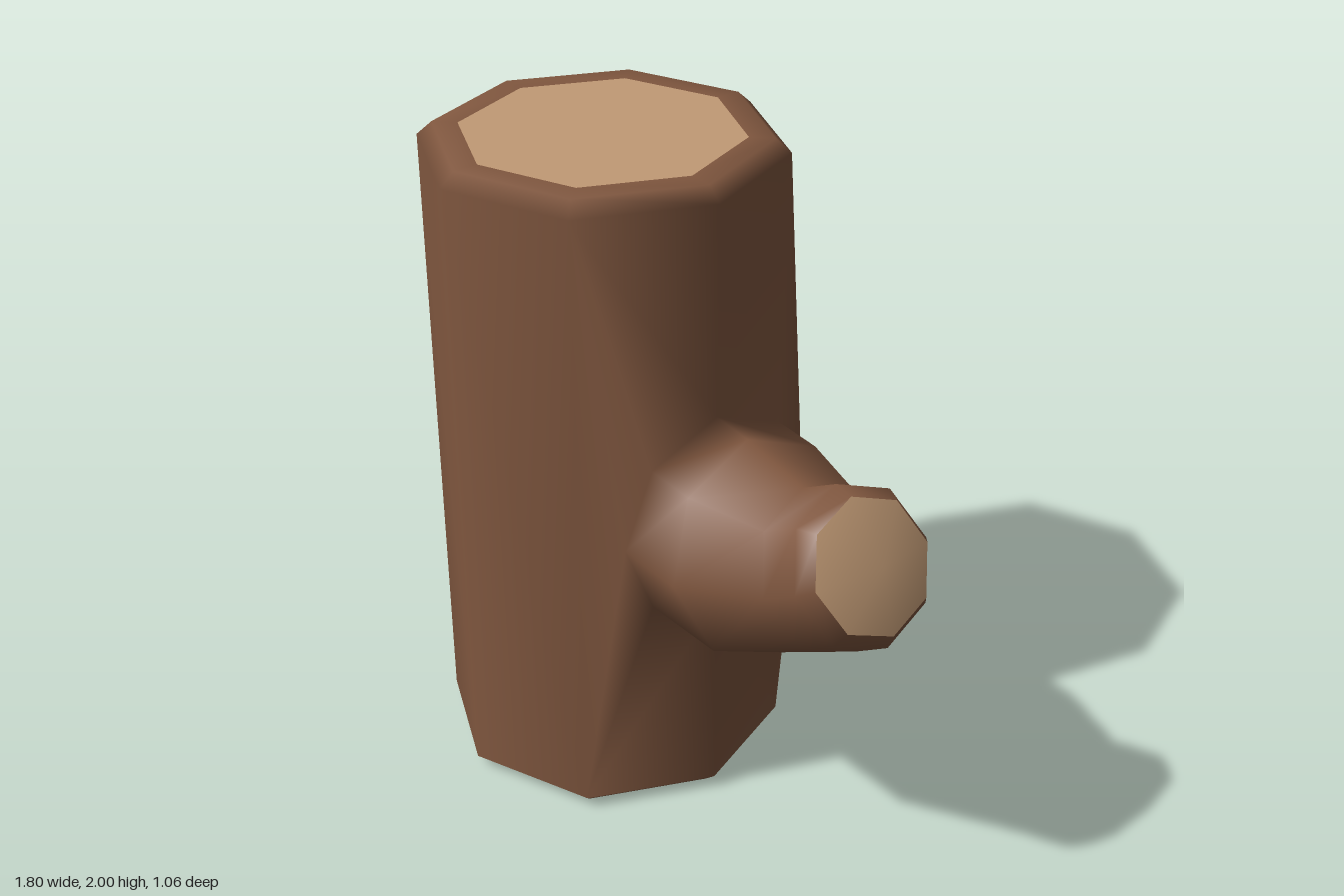
import * as THREE from 'three';

const N = 8;

// Horizontal octagon of the trunk
const trunkRing = (r, y) => Array.from({ length: N }, (_, k) => {
  const a = k / N * Math.PI * 2;
  return [-0.375 + r * Math.cos(a), y, r * Math.sin(a)];
});

// Tilted octagon of the branch: (ux, uy) leads from its centre to its top corner
const branchRing = (cx, cy, ux, uy, rz) => Array.from({ length: N }, (_, k) => {
  const a = k / N * Math.PI * 2;
  return [cx + ux * Math.cos(a), cy + uy * Math.cos(a), rz * Math.sin(a)];
});

function geometryFrom(points, index) {
  const g = new THREE.BufferGeometry();
  g.setAttribute('position', new THREE.Float32BufferAttribute(points.flat(), 3));
  g.setIndex(index);
  g.computeVertexNormals();
  return g;
}

// Fan that closes a ring
function cap(ring, centre, flip) {
  const index = [];
  for (let k = 0; k < N; k++) {
    const n = (k + 1) % N;
    index.push(N, ...(flip ? [n, k] : [k, n]));
  }
  return geometryFrom([...ring, centre], index);
}

export function createModel() {
  const bark = new THREE.MeshStandardMaterial({ color: 0x80573f });
  bark.name = 'bark';
  const wood = new THREE.MeshStandardMaterial({ color: 0xc19a75 });
  wood.name = 'cutWood';

  // Trunk rings run downwards, branch rings run outwards
  const trunk = [[0.41, 2], [0.485, 2], [0.53, 1.96], [0.53, 0.04], [0.485, 0], [0.41, 0]]
    .map(([r, y]) => trunkRing(r, y));
  const branch = [
    [0.15, 1, 0, 0.32, 0.32],
    [0.37, 1, -0.085, 0.31, 0.32],
    [0.64, 1.07, -0.12, 0.2, 0.23],
    [0.765, 1.148, -0.115, 0.197, 0.23],
    [0.805, 1.168, -0.095, 0.168, 0.195],
  ].map((s) => branchRing(...s));
  const rings = [...trunk, ...branch];
  const id = (ring, k) => ring * N + (k + N) % N;

  const index = [];
  for (let r = 0; r < rings.length - 1; r++) {
    if (r === trunk.length - 1) continue;
    for (let k = 0; k < N; k++) {
      // The two trunk faces behind the branch stay open
      if (r === 2 && (k === 0 || k === N - 1)) continue;
      const a = id(r, k), b = id(r, k + 1), c = id(r + 1, k), d = id(r + 1, k + 1);
      index.push(a, b, c, b, d, c);
    }
  }

  // Faces that join the trunk to the branch root, mirrored front to back
  for (const s of [1, -1]) {
    const T = id(2, 0), P = id(2, s), B = id(3, 0), Q = id(3, s);
    const root = [0, 1, 2, 3, 4].map((k) => id(6, s * k));
    const tris = [
      [T, P, root[0]], [P, root[1], root[0]], [P, root[2], root[1]], [P, Q, root[2]],
      [Q, root[3], root[2]], [Q, root[4], root[3]], [Q, B, root[4]],
    ];
    for (const [a, b, c] of tris) index.push(...(s > 0 ? [a, b, c] : [a, c, b]));
  }

  const group = new THREE.Group();
  group.name = 'log';
  const add = (name, geometry, material) => {
    const mesh = new THREE.Mesh(geometry, material);
    mesh.name = name;
    group.add(mesh);
  };
  add('barkBody', geometryFrom(rings.flat(), index), bark);

  // Cut faces
  add('topCut', cap(trunk[0], [-0.375, 2, 0], true), wood);
  add('bottomCut', cap(trunk[5], [-0.375, 0, 0], false), wood);
  add('branchCut', cap(branch[4], [0.848, 1.19, 0], false), wood);
  return group;
}
